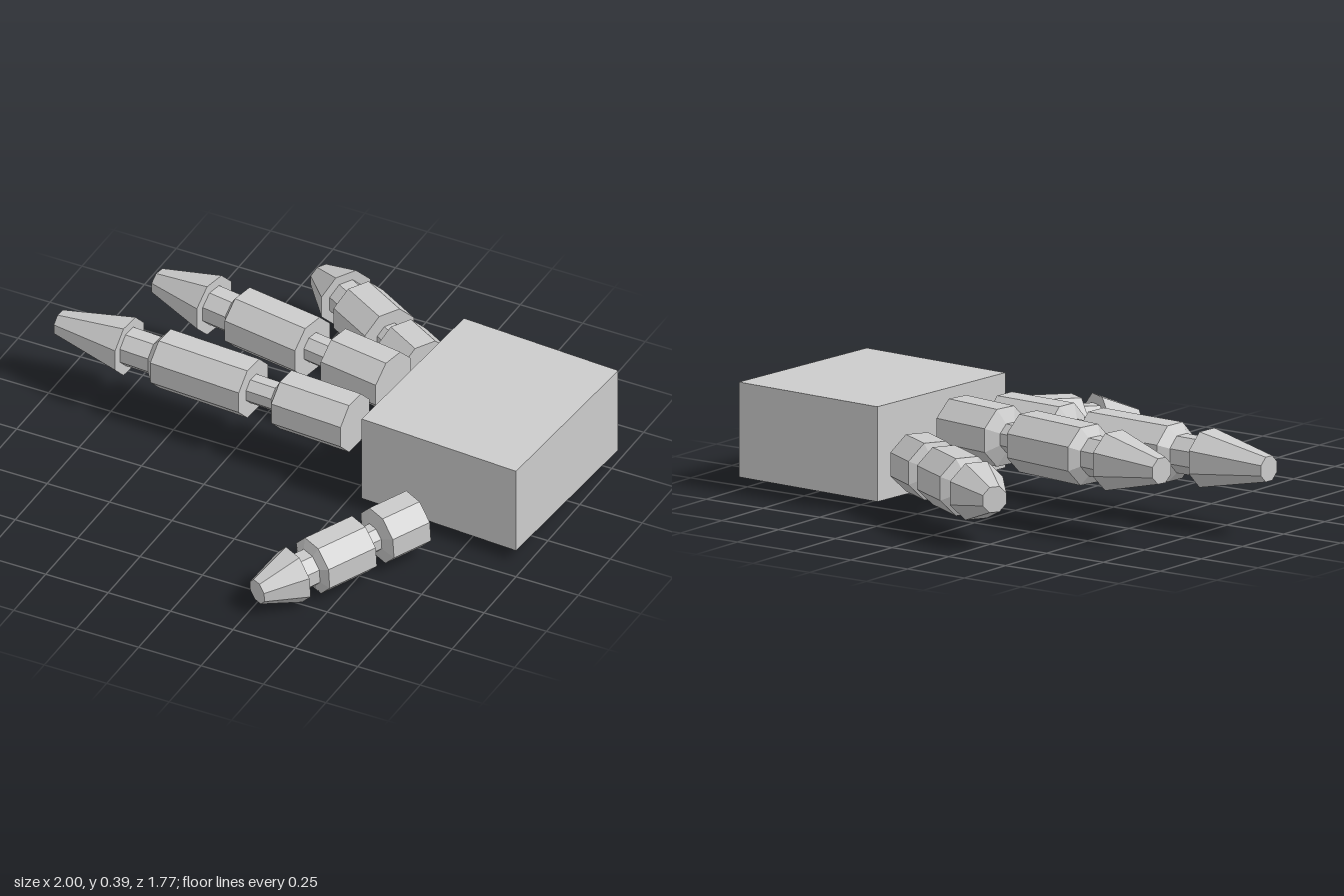
import * as THREE from 'three';

const grey = new THREE.MeshStandardMaterial({ color: 0xcccccc, flatShading: true });

// Finger pieces as [radius, fraction of finger length], running from knuckle to tip
const SEGMENTS = {
  knuckleSegment: [[0, 0], [0.11, 0], [0.11, 0.235], [0.055, 0.26], [0, 0.26]],
  lowerJoint: [[0.055, 0.255], [0.055, 0.35]],
  middleSegment: [[0, 0.345], [0.111, 0.345], [0.111, 0.645], [0.073, 0.67], [0, 0.67]],
  upperJoint: [[0.073, 0.665], [0.073, 0.77]],
  fingertip: [[0, 0.765], [0.11, 0.765], [0.049, 1], [0, 1]],
};

// Eight-sided finger laid from base to tip, one flat side facing up
function makeFinger(name, base, tip, girth) {
  const start = new THREE.Vector3(...base);
  const along = new THREE.Vector3(...tip).sub(start);
  const length = along.length();
  along.normalize();
  const finger = new THREE.Group();
  finger.name = name;
  for (const [part, profile] of Object.entries(SEGMENTS)) {
    const points = profile.map(([r, t]) => new THREE.Vector2(r * girth, t * length));
    const geometry = new THREE.LatheGeometry(points, 8, Math.PI / 8).toNonIndexed();
    geometry.computeVertexNormals();
    const mesh = new THREE.Mesh(geometry, grey);
    mesh.name = part;
    finger.add(mesh);
  }
  const side = new THREE.Vector3().crossVectors(along, new THREE.Vector3(0, 1, 0)).normalize();
  const top = new THREE.Vector3().crossVectors(side, along);
  finger.quaternion.setFromRotationMatrix(new THREE.Matrix4().makeBasis(side, along, top));
  finger.position.copy(start);
  return finger;
}

export function createModel() {
  const hand = new THREE.Group();
  hand.name = 'hand';

  // Blocky palm, turned slightly
  const palm = new THREE.Mesh(new THREE.BoxGeometry(0.638, 0.347, 0.72), grey);
  palm.name = 'palm';
  palm.position.set(0.659, 0.233, -0.213);
  palm.rotation.y = -0.058;
  hand.add(palm);

  // Three fingers and the drooping thumb
  hand.add(
    makeFinger('indexFinger', [0.22, 0.267, -0.014], [-0.997, 0.267, -0.085], 1),
    makeFinger('middleFinger', [0.243, 0.295, -0.268], [-0.78, 0.295, -0.437], 1.03),
    makeFinger('littleFinger', [0.25, 0.205, -0.505], [-0.338, 0.205, -0.843], 1.02),
    makeFinger('thumb', [0.598, 0.145, 0.26], [0.278, 0.103, 0.865], 0.98),
  );
  return hand;
}
